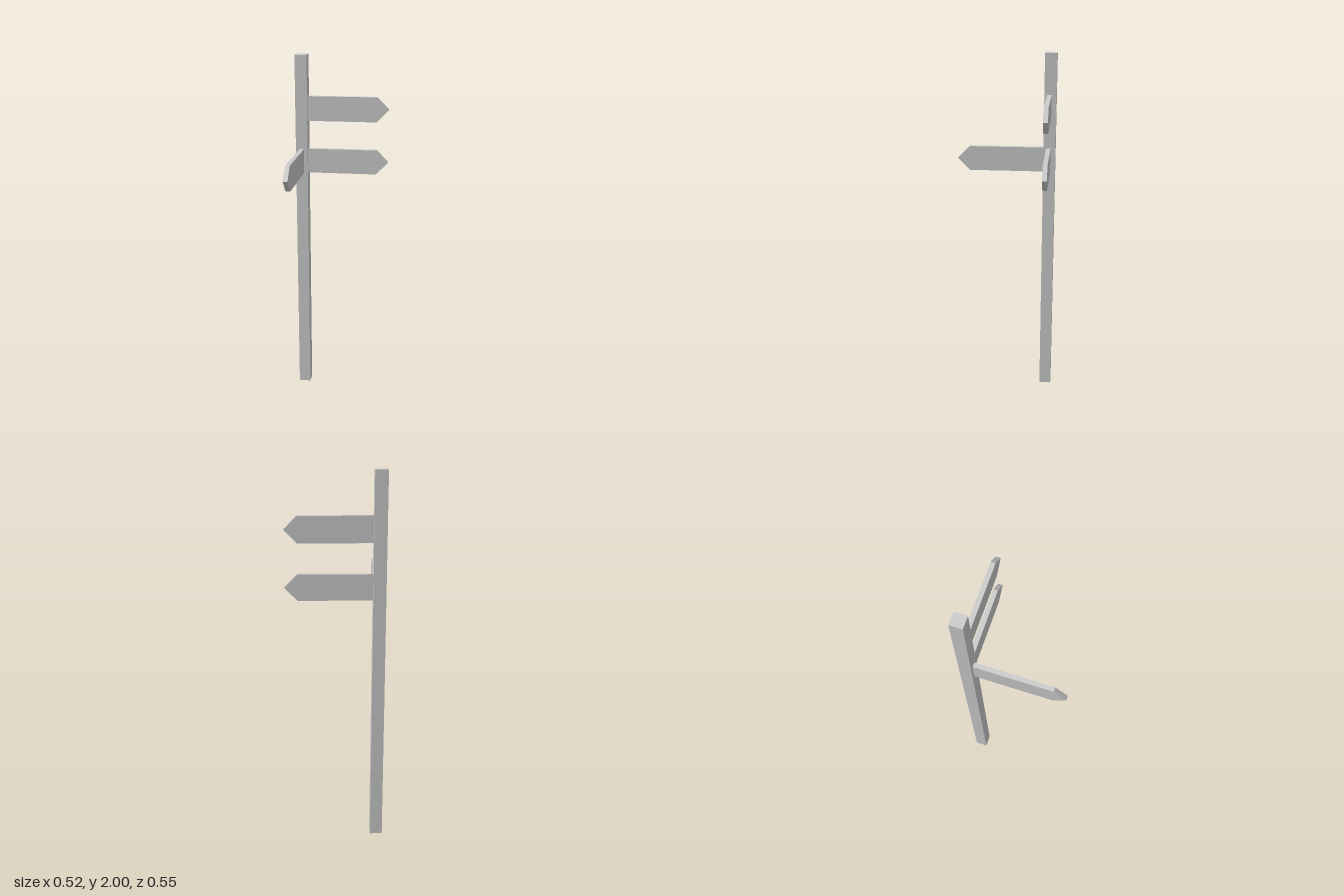
import * as THREE from 'three';

const material = new THREE.MeshStandardMaterial({ color: 0xcccccc, flatShading: true });

const POST = { x: -0.2285, z: -0.244, width: 0.067, height: 2 };
const BOARD = { height: 0.138, thickness: 0.025, tip: 0.068 };

// Pointed board running along +x from its root, centred on y and z
function createBoard(name, length) {
  const h = BOARD.height / 2;
  const shape = new THREE.Shape();
  shape.moveTo(0, -h);
  shape.lineTo(length - BOARD.tip, -h);
  shape.lineTo(length, 0);
  shape.lineTo(length - BOARD.tip, h);
  shape.lineTo(0, h);
  shape.closePath();
  const geometry = new THREE.ExtrudeGeometry(shape, { depth: BOARD.thickness, bevelEnabled: false });
  geometry.translate(0, 0, -BOARD.thickness / 2);
  const board = new THREE.Mesh(geometry, material);
  board.name = name;
  return board;
}

export function createModel() {
  const group = new THREE.Group();
  group.name = 'signpost';

  // Square post
  const post = new THREE.Mesh(new THREE.BoxGeometry(POST.width, POST.height, POST.width), material);
  post.name = 'post';
  post.position.set(POST.x, POST.height / 2, POST.z);
  group.add(post);

  // Two boards pointing to the model's left
  const sideRoot = POST.x + POST.width / 2;
  for (const [name, y] of [['upperSideBoard', 1.705], ['lowerSideBoard', 1.408]]) {
    const board = createBoard(name, 0.262 - sideRoot);
    board.position.set(sideRoot, y, -0.238);
    group.add(board);
  }

  // One board pointing forward
  const frontRoot = POST.z + POST.width / 2;
  const frontBoard = createBoard('frontBoard', 0.277 - frontRoot);
  frontBoard.rotation.y = -Math.PI / 2;
  frontBoard.position.set(POST.x, 1.408, frontRoot);
  group.add(frontBoard);

  return group;
}
